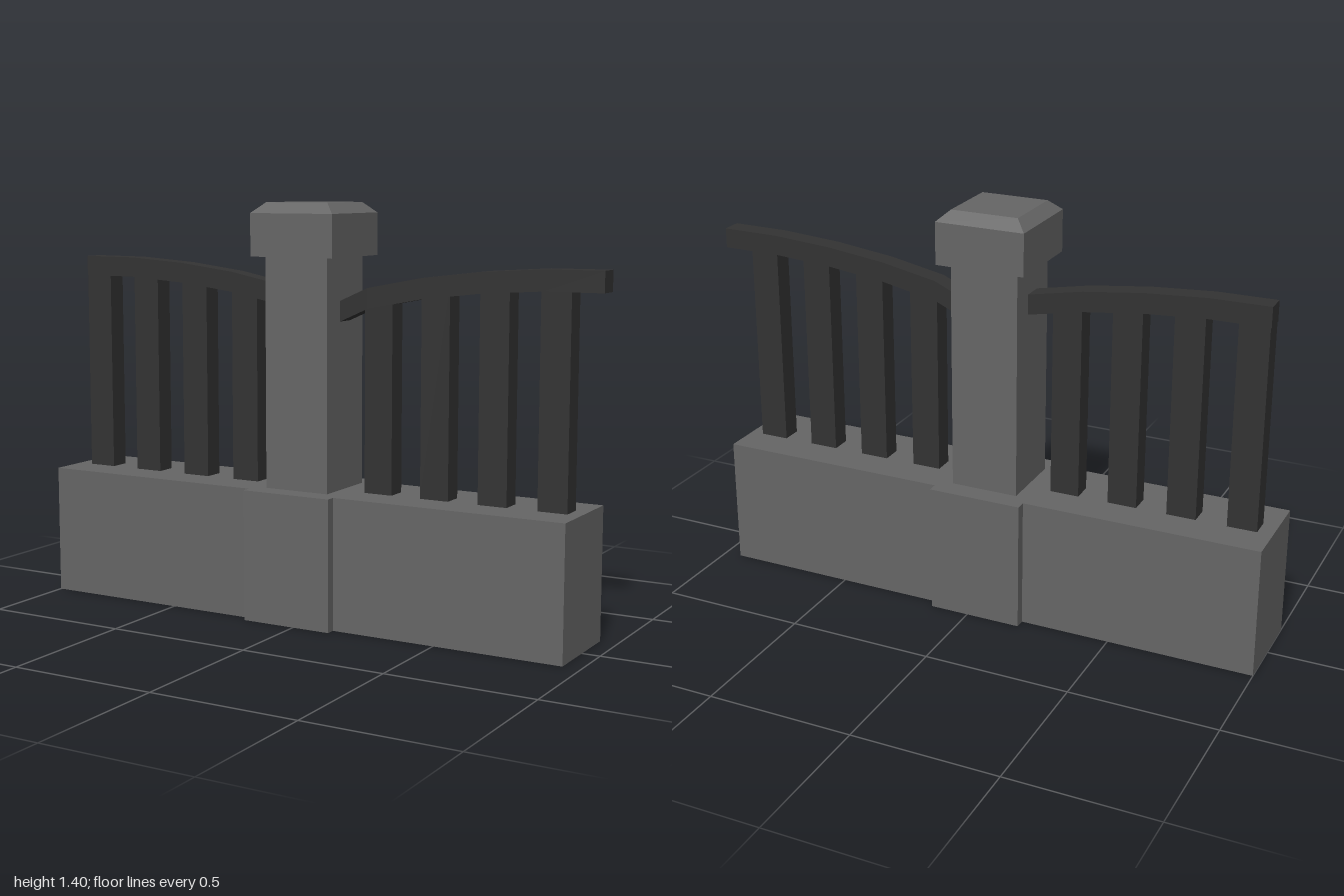
import * as THREE from 'three';

const stone = new THREE.MeshStandardMaterial({ color: 0x666666, flatShading: true });
const iron = new THREE.MeshStandardMaterial({ color: 0x333333, flatShading: true });

// Box given by its limits; the top face can be drawn in to make a bevel
function block(name, material, [x0, x1], [y0, y1], [z0, z1], inset = 0) {
  const w = x1 - x0, h = y1 - y0, d = z1 - z0;
  const geo = new THREE.BoxGeometry(w, h, d);
  const p = geo.attributes.position;
  for (let i = 0; i < p.count; i++) {
    if (p.getY(i) > 0) {
      p.setX(i, p.getX(i) * (1 - 2 * inset / w));
      p.setZ(i, p.getZ(i) * (1 - 2 * inset / d));
    }
  }
  geo.computeVertexNormals();
  const mesh = new THREE.Mesh(geo, material);
  mesh.name = name;
  mesh.position.set((x0 + x1) / 2, (y0 + y1) / 2, (z0 + z1) / 2);
  return mesh;
}

const BASE_TOP = 0.445;
const RAIL_HALF = 0.035;
const MIRROR = 0.05; // the left rail is the right one mirrored: x -> MIRROR - x

// Upper edge of the right-hand rail, from inside the post outwards
const railTop = [[0.04, 1.055], [0.19, 1.122], [0.385, 1.16], [0.59, 1.185], [0.8, 1.199], [1.0, 1.2]];

// Curved handrail, cut from its side outline
function rail(name, mirrored) {
  const place = ([x, y]) => new THREE.Vector2(mirrored ? MIRROR - x : x, y);
  const lower = railTop.map(([x, y]) => [x, y - 0.068]).reverse();
  const shape = new THREE.Shape([...railTop, ...lower].map(place));
  const geo = new THREE.ExtrudeGeometry(shape, { depth: 2 * RAIL_HALF, bevelEnabled: false });
  geo.translate(0, 0, -RAIL_HALF);
  const mesh = new THREE.Mesh(geo, iron);
  mesh.name = name;
  return mesh;
}

// Height of the rail's upper edge at x
function railHeight(x) {
  const i = Math.max(1, railTop.findIndex(([px]) => px >= x));
  const [[xa, ya], [xb, yb]] = [railTop[i - 1], railTop[i]];
  return ya + (yb - ya) * (x - xa) / (xb - xa);
}

export function createModel() {
  const model = new THREE.Group();
  model.name = 'fenceSection';

  // Low wall on both sides of the post's plinth
  const wallZ = [-0.16, 0.163];
  model.add(block('wallRight', stone, [-1, -0.19], [0, BASE_TOP], wallZ));
  model.add(block('wallLeft', stone, [0.135, 0.94], [0, BASE_TOP], wallZ));
  model.add(block('plinth', stone, [-0.19, 0.135], [0, BASE_TOP], [-0.195, 0.195]));

  // Post with a bevelled cap
  model.add(block('post', stone, [-0.147, 0.087], [BASE_TOP, 1.22], [-0.12, 0.12]));
  model.add(block('cap', stone, [-0.183, 0.125], [1.22, 1.362], [-0.153, 0.155]));
  model.add(block('capBevel', stone, [-0.183, 0.125], [1.362, 1.397], [-0.153, 0.155], 0.038));

  // Railings: four bars on each side, reaching into the rail
  for (const [side, start] of [['Right', -0.948], ['Left', 0.182]]) {
    const railing = new THREE.Group();
    railing.name = 'railing' + side;
    railing.add(rail('rail' + side, side === 'Right'));
    for (let i = 0; i < 4; i++) {
      const x = start + i * 0.2045;
      const mid = x + 0.05;
      const top = railHeight(side === 'Right' ? MIRROR - mid : mid) - 0.03;
      railing.add(block('bar' + side + (i + 1), iron, [x, x + 0.1], [BASE_TOP, top], [-RAIL_HALF, RAIL_HALF]));
    }
    model.add(railing);
  }
  return model;
}
